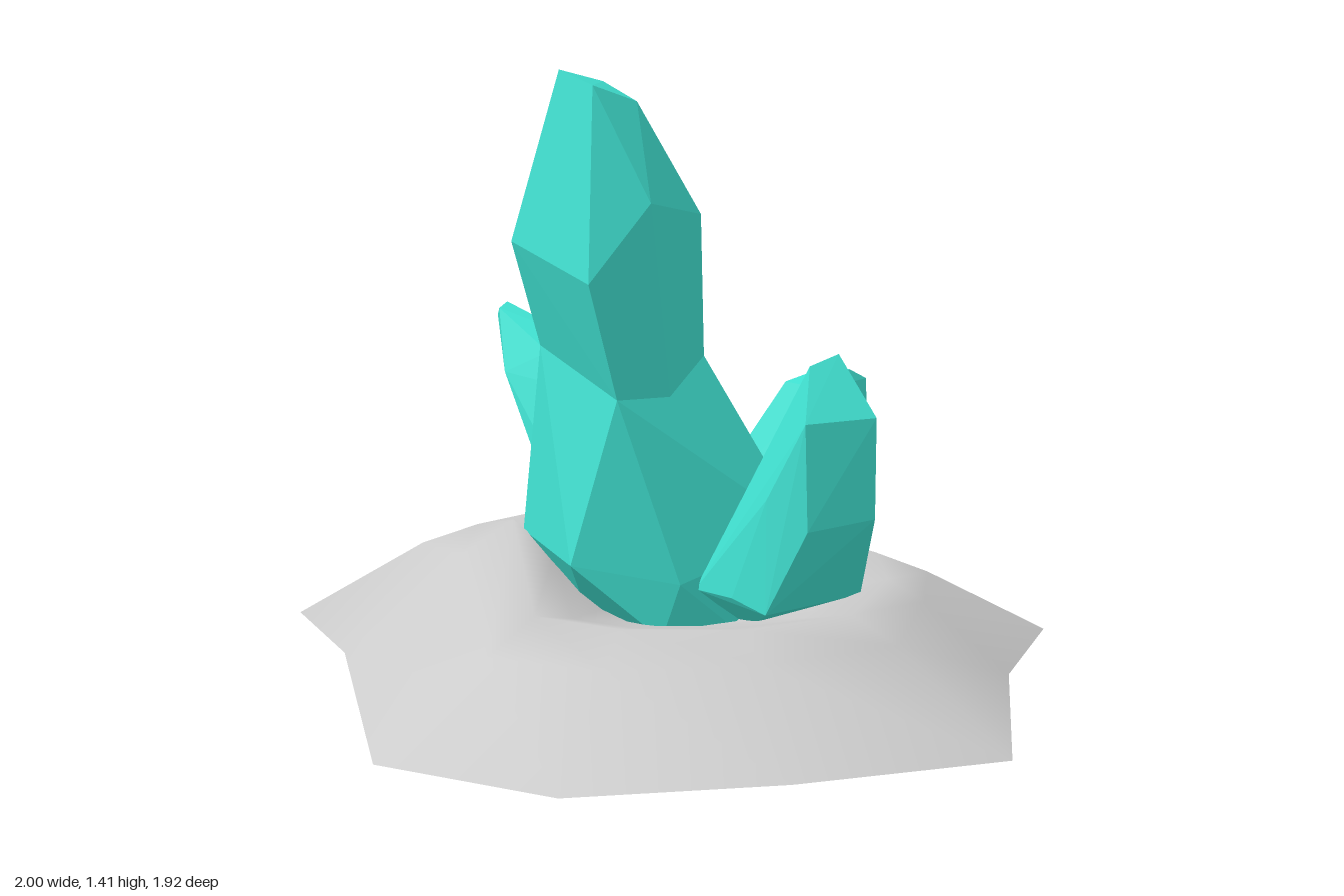
import * as THREE from 'three';
import { ConvexGeometry } from 'three/addons/geometries/ConvexGeometry.js';

const crystalMat = new THREE.MeshStandardMaterial({ color: 0x40e0d0, flatShading: true });
const moundMat = new THREE.MeshStandardMaterial({ color: 0xcccccc, side: THREE.DoubleSide });

// A faceted convex crystal spanned by its corner points
function crystal(name, corners) {
  const mesh = new THREE.Mesh(new ConvexGeometry(corners.map(c => new THREE.Vector3(...c))), crystalMat);
  mesh.name = name;
  return mesh;
}

// Smooth surface through closed loops, ordered from the outside in
function loft(loops) {
  const n = loops[0].length, index = [];
  for (let r = 0; r < loops.length - 1; r++) {
    for (let i = 0; i < n; i++) {
      const a = r * n + i, a2 = r * n + (i + 1) % n;
      index.push(a, a + n, a2 + n, a, a2 + n, a2);
    }
  }
  const geo = new THREE.BufferGeometry();
  geo.setAttribute('position', new THREE.Float32BufferAttribute(loops.flat(2), 3));
  geo.setIndex(index);
  geo.computeVertexNormals();
  return geo;
}

function createMound() {
  // Ground outline (x, z) and crater rim (x, y, z), paired
  const outline = [[-0.46, -0.96], [0, -0.88], [0.44, -0.82], [0.62, -0.48], [1, -0.05], [0.8, 0.39],
    [0.55, 0.79], [0.15, 0.96], [-0.53, 0.59], [-0.89, 0.49], [-1, -0.09], [-0.75, -0.5]];
  const rim = [[-0.22, 0.24, -0.46], [0, 0.24, -0.47], [0.22, 0.24, -0.45], [0.4, 0.24, -0.3],
    [0.55, 0.24, -0.03], [0.48, 0.24, 0.22], [0.3, 0.24, 0.42], [0.1, 0.24, 0.5],
    [-0.24, 0.36, 0.3], [-0.45, 0.3, 0.25], [-0.49, 0.29, -0.02], [-0.37, 0.26, -0.27]];
  const base = outline.map(([x, z]) => [x, 0.025, z]);
  // Shoulder between rim and ground, bulging toward the two sides
  const shoulder = rim.map((p, i) => p.map((v, k) =>
    v + (base[i][k] - v) * 0.3 + (k === 1 ? 0.025 * Math.abs(base[i][0]) : 0)));
  // Crater sinking toward the crystals, steepest behind on the right
  const inner = (s, drop) => rim.map(([x, y, z], i) => {
    const steep = i < 2 || i > 10 ? 1.6 : 1;
    return [x * s, y + (0.15 - y) * Math.min(1, drop * steep), z * s];
  });
  const mesh = new THREE.Mesh(loft([base, shoulder, rim, inner(0.75, 0.4), inner(0.36, 1)]), moundMat);
  mesh.name = 'mound';
  return mesh;
}

export function createModel() {
  const group = new THREE.Group();
  group.name = 'crystalCluster';

  // Waist where the tall crystal grows out of the root
  const waist = [[-0.22, 0.77, 0.23], [0.06, 0.68, 0.23], [0.07, 0.66, 0.08],
    [0.05, 0.75, -0.04], [-0.18, 0.75, -0.04], [-0.22, 0.77, 0.08]];

  group.add(
    createMound(),

    // Shared root, reaching below the mound
    crystal('crystalRoot', [...waist,
      [-0.31, 0.65, 0.02], [-0.31, 0.5, 0.15], [-0.24, 0.33, 0.27], [0, 0.3, 0.32],
      [0.15, 0.25, 0.12], [0.2, 0.33, -0.23], [-0.16, 0.3, -0.2],
      [0.12, 0.12, 0.15], [-0.12, 0.12, 0.17], [-0.19, 0.12, -0.02],
      [-0.17, 0, -0.18], [0.2, 0, -0.17], [0.1, 0.02, -0.01], [-0.1, 0.02, -0.02], [0.15, 0.06, -0.25]]),

    // Tall centre crystal with a chisel tip
    crystal('tallCrystal', [...waist,
      [-0.22, 1.02, 0.31], [0.06, 0.95, 0.31], [0.085, 1.12, 0.15],
      [0.05, 1.08, -0.03], [-0.18, 1.08, -0.03], [-0.22, 1.04, 0.15],
      [-0.14, 1.41, 0.23], [-0.02, 1.38, 0.23], [-0.01, 1.34, 0.11], [-0.13, 1.38, 0.11]]),

    // Short crystal leaning backward
    crystal('backCrystal', [
      [-0.02, 0.66, -0.52], [0.05, 0.66, -0.52], [-0.03, 0.63, -0.58], [0.05, 0.63, -0.58],
      [-0.03, 0.635, -0.38], [0.1, 0.635, -0.38], [0.1, 0.35, -0.54], [-0.05, 0.35, -0.54],
      [0.14, 0.4, -0.42], [-0.1, 0.4, -0.4], [0.08, 0.24, -0.43], [-0.05, 0.24, -0.43],
      [-0.16, 0.3, -0.2], [0.2, 0.33, -0.23], [0.1, 0.12, -0.28], [-0.1, 0.12, -0.28]]),

    // Stout crystal on the left side
    crystal('leftCrystal', [
      [0.4, 0.79, -0.13], [0.39, 0.77, -0.05], [0.46, 0.66, 0.03], [0.51, 0.66, -0.14],
      [0.51, 0.43, -0.14], [0.47, 0.42, 0.03], [0.27, 0.58, -0.05], [0.3, 0.58, -0.18],
      [0.4, 0.5, -0.21], [0.31, 0.45, -0.23], [0.37, 0.48, 0.06], [0.38, 0.22, 0.07], [0.28, 0.24, 0.08],
      [0.145, 0.23, 0.07], [0.18, 0.2, -0.23], [0.4, 0.22, -0.21], [0.2, 0.37, -0.05], [0.2, 0.13, -0.05]]),

    // Slim crystal pointing out on the right side
    crystal('rightCrystal', [
      [-0.6, 0.81, 0.04], [-0.6, 0.78, 0.07], [-0.58, 0.8, 0.08], [-0.53, 0.64, 0.09], [-0.48, 0.66, 0.14],
      [-0.36, 0.74, 0], [-0.36, 0.72, 0.1], [-0.33, 0.49, 0.17], [-0.38, 0.5, 0.03],
      [-0.34, 0.62, -0.02], [-0.31, 0.66, 0], [-0.29, 0.65, 0.12], [-0.28, 0.5, 0.17], [-0.2, 0.58, 0.1]])
  );
  return group;
}
